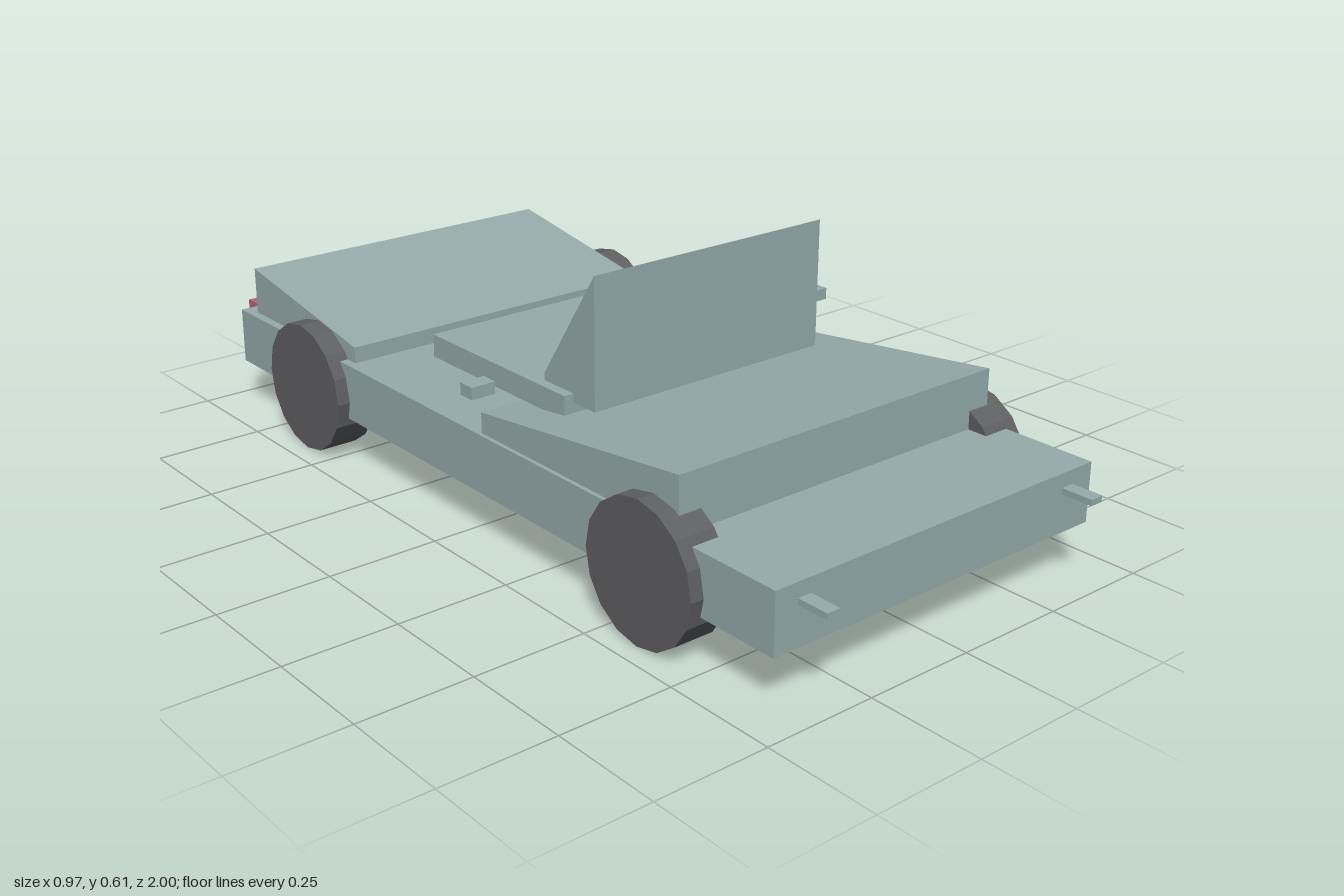
import * as THREE from 'three';

export function createModel() {
  const paint = (name, color) => {
    const m = new THREE.MeshStandardMaterial({ color });
    m.name = name;
    return m;
  };
  const body = paint('body grey green', 0x96abab);
  const dark = paint('dark grey', 0x5f6062);
  const red = paint('tail red', 0xb5666e);

  const model = new THREE.Group();
  model.name = 'car';

  const add = (name, geometry, material, x = 0, y = 0, z = 0) => {
    const mesh = new THREE.Mesh(geometry, material);
    mesh.name = name;
    mesh.position.set(x, y, z);
    model.add(mesh);
    return mesh;
  };

  // Box given by its x centre, width and its y and z limits
  const box = (name, material, x, w, y0, y1, z0, z1) =>
    add(name, new THREE.BoxGeometry(w, y1 - y0, z1 - z0), material, x, (y0 + y1) / 2, (z0 + z1) / 2);

  // Side profile of [z, y] points, extruded across the width
  const wedge = (name, material, w, points) => {
    const shape = new THREE.Shape(points.map(([z, y]) => new THREE.Vector2(z, y)));
    const geometry = new THREE.ExtrudeGeometry(shape, { depth: w, bevelEnabled: false });
    geometry.translate(0, 0, -w / 2).rotateY(-Math.PI / 2);
    return add(name, geometry, material);
  };

  // Main slab with sloping hood and trunk
  box('chassis', body, 0, 0.85, 0.11, 0.24, -0.93, 0.93);
  wedge('hood', body, 0.832, [[0.06, 0.23], [0.67, 0.23], [0.67, 0.36], [0.06, 0.285]]);
  wedge('trunk', body, 0.81, [[-0.888, 0.23], [-0.443, 0.23], [-0.443, 0.277], [-0.888, 0.35]]);

  // Seat on its support
  box('seat', body, 0, 0.65, 0.295, 0.346, -0.245, 0.218);
  box('seatSupport', dark, 0, 0.4, 0.235, 0.297, -0.135, 0.005);

  // Windshield with a dark strip lying on its sloping back
  wedge('windshield', body, 0.604, [[0.123, 0.327], [0.286, 0.327], [0.286, 0.608], [0.123, 0.362]]);
  const strip = add('windshieldStrip', new THREE.BoxGeometry(0.526, 0.04, 0.008), dark, 0, 0.546, 0.238);
  strip.rotation.x = Math.atan2(0.163, 0.246);

  for (const side of [-1, 1]) {
    // Wheels
    for (const [name, z] of [['frontWheel', 0.6], ['rearWheel', -0.593]]) {
      const geometry = new THREE.CylinderGeometry(0.15, 0.15, 0.092, 16).toNonIndexed();
      geometry.rotateZ(Math.PI / 2);
      geometry.computeVertexNormals();
      add(name, geometry, dark, side * 0.409, 0.15, z);
    }
    // Mirrors and lights
    box('mirror', body, side * 0.459, 0.056, 0.352, 0.378, 0.094, 0.133);
    box('headlight', body, side * 0.355, 0.031, 0.195, 0.208, 0.92, 1);
    box('tailLight', red, side * 0.353, 0.031, 0.21, 0.235, -1, -0.92);
  }
  return model;
}
